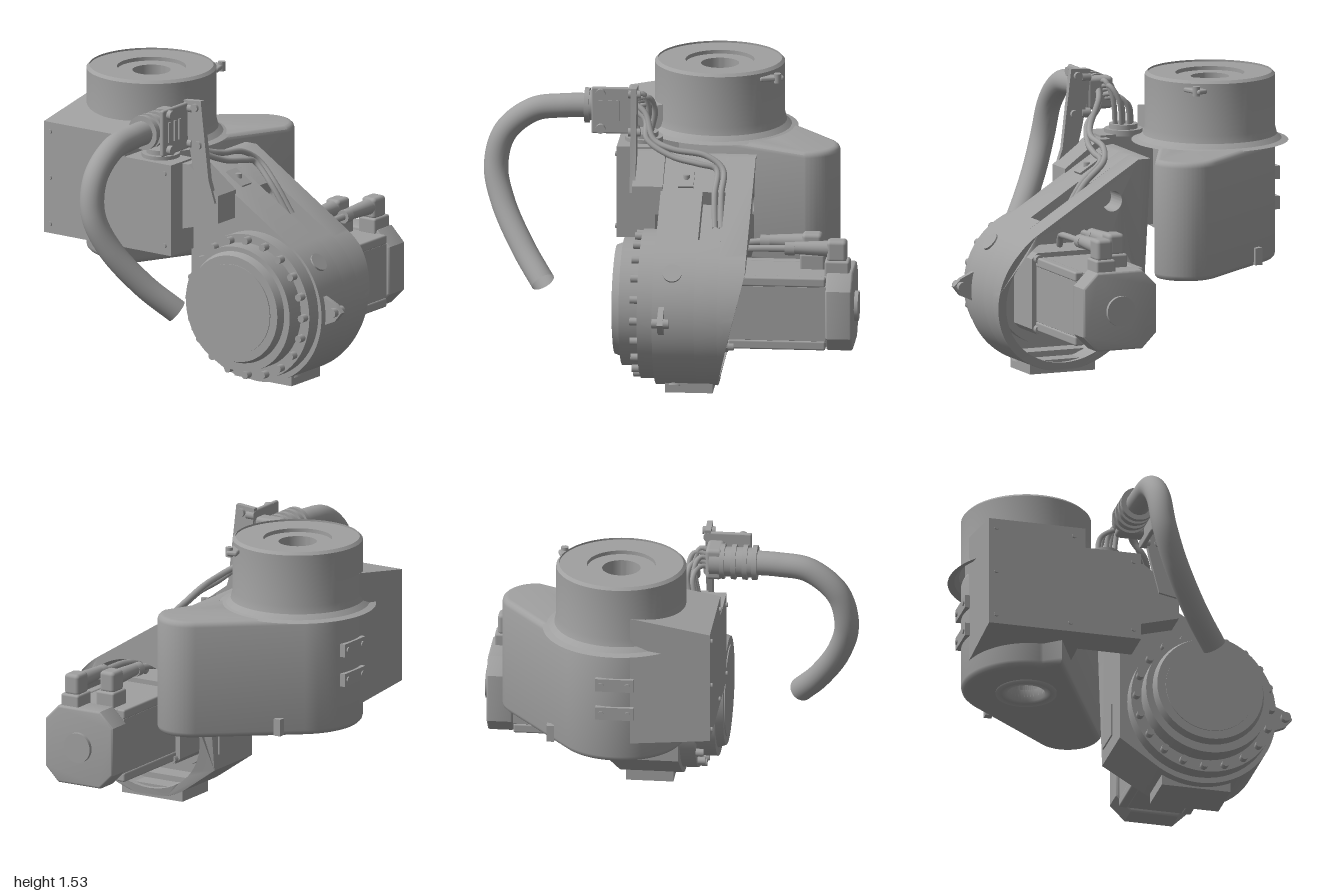
import * as THREE from 'three';
import { toCreasedNormals } from 'three/addons/utils/BufferGeometryUtils.js';
import { RoundedBoxGeometry } from 'three/addons/geometries/RoundedBoxGeometry.js';

const V = (x, y, z) => new THREE.Vector3(x, y, z);
const rad = THREE.MathUtils.degToRad;

export function createModel() {
  const root = new THREE.Group();
  const grey = new THREE.MeshStandardMaterial({ color: 0xa0a0a0, side: THREE.DoubleSide });
  grey.name = 'castGrey';

  const add = (name, geo, x = 0, y = 0, z = 0) => {
    const m = new THREE.Mesh(geo, grey);
    m.name = name;
    m.position.set(x, y, z);
    root.add(m);
    return m;
  };
  const box = (name, x0, x1, y0, y1, z0, z1, r = 0) => add(name,
    r ? new RoundedBoxGeometry(x1 - x0, y1 - y0, z1 - z0, 2, r) : new THREE.BoxGeometry(x1 - x0, y1 - y0, z1 - z0),
    (x0 + x1) / 2, (y0 + y1) / 2, (z0 + z1) / 2);
  const extrude = (shape, depth, bevel = 0) => new THREE.ExtrudeGeometry(shape, {
    depth: depth - 2 * bevel, curveSegments: 28, bevelEnabled: bevel > 0,
    bevelSize: bevel, bevelOffset: -bevel, bevelThickness: bevel, bevelSegments: 3 }).translate(0, 0, bevel);
  // shape drawn in (-z, y), swept along x
  const alongX = (name, shape, x0, x1, bevel = 0) =>
    add(name, toCreasedNormals(extrude(shape, x1 - x0, bevel).rotateY(Math.PI / 2).translate(x0, 0, 0), 0.6));
  const zyShape = pts => new THREE.Shape(pts.map(([z, y]) => new THREE.Vector2(-z, y)));
  // cylinders along each axis
  const rodX = (name, x0, x1, r, y, z, seg = 40, r2 = r) =>
    add(name, new THREE.CylinderGeometry(r2, r, x1 - x0, seg).rotateZ(-Math.PI / 2), (x0 + x1) / 2, y, z);
  const rodY = (name, y0, y1, r, x, z, seg = 32) =>
    add(name, new THREE.CylinderGeometry(r, r, y1 - y0, seg), x, (y0 + y1) / 2, z);
  const rodZ = (name, z0, z1, r, x, y, seg = 20) =>
    add(name, new THREE.CylinderGeometry(r, r, z1 - z0, seg).rotateX(Math.PI / 2), x, y, (z0 + z1) / 2);
  const tube = (name, pts, r, seg = 48, sides = 10) =>
    add(name, new THREE.TubeGeometry(new THREE.CatmullRomCurve3(pts), seg, r, sides));

  // upper housing, drawn in (x, -z)
  const plan = new THREE.Shape();
  plan.moveTo(-0.2, -0.02);
  plan.absarc(0.68, 0.16, 0.18, -Math.PI / 2, rad(38.3), false);
  plan.absarc(0.2, 0.51, 0.34, rad(38.3), Math.PI, false);
  plan.lineTo(-0.2, 0.42);
  plan.closePath();
  plan.holes.push(new THREE.Path().absarc(0.2, 0.51, 0.1, 0, Math.PI * 2, true));
  add('upperHousing', toCreasedNormals(extrude(plan, 0.63, 0.03).rotateX(-Math.PI / 2).translate(0, 0.54, 0), 0.6));

  // turret with bored top and filleted foot
  const turret = [[0.1, 0.56], [0.1, 1.5], [0.18, 1.5], [0.18, 1.52], [0.325, 1.52], [0.325, 1.53], [0.34, 1.515],
    [0.34, 1.24], [0.35, 1.2], [0.375, 1.175], [0.41, 1.165]];
  add('turret', toCreasedNormals(new THREE.LatheGeometry(turret.map(p => new THREE.Vector2(...p)), 64).toNonIndexed(), 0.5),
    0.2, 0, -0.51);
  add('bottomBearing', new THREE.LatheGeometry([[0.1, 0.6], [0.1, 0.535], [0.13, 0.535], [0.13, 0.53], [0.16, 0.53],
    [0.16, 0.56]].map(p => new THREE.Vector2(...p)), 40), 0.2, 0, -0.51);
  const lug = box('turretLug', 0.42, 0.55, 1.47, 1.495, -0.33, -0.27, 0.01);
  lug.rotation.y = 0.3;
  rodY('turretLugPin', 1.46, 1.51, 0.02, 0.52, -0.29, 12);

  // side cabinet with sloped lid, drawn in (x, y) and swept along z
  const cabinet = new THREE.Shape([[-0.3, 0.68], [0.2, 0.64], [0.2, 1.37], [-0.3, 1.28]].map(p => new THREE.Vector2(...p)));
  add('cabinet', extrude(cabinet, 0.52).translate(0, 0, -0.84));
  box('cabinetFront', -0.3, -0.1, 0.68, 1.17, -0.33, -0.02);
  for (const [y, z] of [[0.73, -0.8], [1.23, -0.8], [0.98, -0.8], [0.73, -0.4], [1.23, -0.38], [0.73, -0.06], [1.12, -0.06]])
    rodX('cabinetScrew', -0.31, -0.29, 0.013, y, z, 8);

  // rear mounting bars
  for (const y of [0.82, 0.98]) {
    box('rearBar', 0.1, 0.3, y - 0.035, y + 0.035, -0.865, -0.83);
    for (const x of [0.13, 0.27]) rodZ('rearBarScrew', -0.872, -0.85, 0.015, x, y, 10);
  }
  // bottom edge lugs
  for (const [x, z] of [[0.77, -0.07], [0.56, -0.62]]) box('edgeLug', x - 0.02, x + 0.02, 0.55, 0.64, z - 0.02, z + 0.02);

  // arm shell in three slabs; the middle one carries the cable slot
  const slope = (t, d = 0) => new THREE.Vector2(-0.848 * t + 0.53 * d, 1.13 - 0.53 * t - 0.848 * d);
  const armShape = (slot, web) => {
    const s = new THREE.Shape();
    s.moveTo(0.07, 1.13);
    const pts = [slope(0)];
    if (slot) pts.push(slope(0.25), slope(0.27, 0.075), slope(0.57, 0.075), slope(0.59));
    pts.forEach(p => s.lineTo(p.x, p.y));
    s.absarc(-0.36, 0.42, 0.41, rad(122), rad(305), false);
    s.lineTo(0.07, 0.22);
    s.closePath();
    s.holes.push(new THREE.Path().absarc(-0.36, 0.42, 0.365, 0, Math.PI * 2, true));
    if (web) s.holes.push(new THREE.Path().absarc(-0.15, 0.92, 0.055, 0, Math.PI * 2, true));
    return s;
  };
  const slabs = [[-0.05, 0.17], [0.17, 0.29], [0.29, 0.43]];
  slabs.forEach(([x0, x1], i) => {
    const g = extrude(armShape(i === 1, i === 2), x1 - x0).rotateY(Math.PI / 2).translate(x0, 0, 0);
    const p = g.attributes.position;
    // the open edge leans back towards the bottom
    for (let k = 0; k < p.count; k++) p.setX(k, Math.min(p.getX(k), 0.27 + Math.max(0, p.getY(k) - 0.03) * 0.245));
    g.computeVertexNormals();
    add('armShell', toCreasedNormals(g, 0.6));
  });
  rodX('armBackPlate', -0.05, 0.04, 0.38, 0.42, 0.36, 48);
  rodX('armInnerRing', 0.04, 0.1, 0.3, 0.42, 0.36, 48);
  alongX('armShoulder', zyShape([[-0.05, 1.16], [0.02, 1.16], [0.21, 1.02], [0.21, 0.87], [-0.05, 0.8]]), -0.2, -0.04);
  const pad = box('slopePad', 0.04, 0.12, -0.01, 0.01, -0.06, 0.06);
  pad.position.set(0.08, 1.045, 0.14);
  pad.rotation.x = 0.56;
  rodY('slopePadScrew', 1.04, 1.07, 0.018, 0.08, 0.14, 10);
  box('armRearPlate', 0.1, 0.28, 0.3, 0.48, -0.078, -0.06);

  // plugs, eye lug and feet
  const plug = rodZ('frontPlug', -0.01, 0.01, 0.05, 0.05, 0.68, 28);
  plug.position.z = 0.675; plug.rotation.x = -0.72;
  const lowPlug = rodZ('lowerPlug', -0.01, 0.01, 0.05, 0.05, 0.04, 28);
  lowPlug.position.set(0.05, 0.035, 0.5); lowPlug.rotation.x = 1.2;
  alongX('eyeLug', zyShape([[0.74, 0.53], [0.83, 0.49], [0.87, 0.45], [0.83, 0.4], [0.74, 0.36]]), -0.015, 0.015);
  rodX('eyePin', -0.045, 0.045, 0.025, 0.45, 0.83, 14);
  box('footPad', 0, 0.15, 0, 0.1, 0.17, 0.54);
  box('footBlock', 0.15, 0.25, 0, 0.07, 0.17, 0.54);

  // reducer stack and bolt ring
  rodX('reducerFlange', -0.13, -0.05, 0.39, 0.43, 0.36, 56);
  rodX('reducerBody', -0.23, -0.13, 0.335, 0.44, 0.36, 56);
  rodX('reducerCap', -0.27, -0.23, 0.285, 0.45, 0.36, 56, 0.3);
  rodX('reducerCapFace', -0.275, -0.265, 0.24, 0.45, 0.36, 48);
  for (let i = 0; i < 20; i++) {
    const a = i / 20 * Math.PI * 2;
    rodX('reducerBolt', -0.17, -0.12, 0.02, 0.43 + 0.363 * Math.sin(a), 0.36 + 0.363 * Math.cos(a), 10);
  }

  // motor
  const octagon = (h, c) => zyShape([[-h, c - h], [c - h, -h], [h - c, -h], [h, c - h], [h, h - c], [h - c, h], [c - h, h], [-h, h - c]]
    .map(([z, y]) => [z + 0.35, y + 0.44]));
  alongX('motorFlange', octagon(0.215, 0.03), 0.1, 0.33);
  alongX('motorBody', octagon(0.19, 0.045), 0.33, 0.84);
  for (const sy of [-1, 1]) for (const sz of [-1, 1]) {
    box('motorRail', 0.33, 0.84, 0.44 + sy * 0.17 - 0.025, 0.44 + sy * 0.17 + 0.025, 0.35 + sz * 0.17 - 0.025, 0.35 + sz * 0.17 + 0.025, 0.01);
    rodX('motorBolt', 0.32, 0.36, 0.022, 0.44 + sy * 0.185, 0.35 + sz * 0.185, 10);
  }
  alongX('motorEndBlock', octagon(0.208, 0.08), 0.84, 0.98, 0.012);
  rodX('motorEndCap', 0.98, 1.0, 0.08, 0.44, 0.35, 32);

  // motor connectors with short cables into the shell
  for (const [x, z] of [[0.75, 0.29], [0.89, 0.42]]) {
    box('connectorBase', x - 0.06, x + 0.07, 0.62, 0.71, z - 0.055, z + 0.055, 0.012);
    box('connectorHead', x - 0.05, x + 0.055, 0.7, 0.815, z - 0.045, z + 0.045, 0.02);
    rodX('connectorPlug', x - 0.22, x - 0.04, 0.032, 0.765, z, 18, 0.042);
    rodX('connectorNut', x - 0.27, x - 0.22, 0.036, 0.76, z, 12);
    tube('motorCable', [V(x - 0.26, 0.76, z), V(0.42, 0.755, z), V(0.33, 0.74, z - 0.02), V(0.27, 0.68, z - 0.04)], 0.018, 20, 8);
  }

  // big hose
  const hosePath = [[-0.66, 0.51, 0.28], [-0.77, 0.65, 0.15], [-0.89, 0.86, 0.01], [-0.935, 1.04, -0.06], [-0.89, 1.22, -0.08],
    [-0.74, 1.345, -0.08], [-0.58, 1.37, -0.08], [-0.4, 1.375, -0.08]];
  tube('hose', hosePath.map(p => V(...p)), 0.064, 72, 24);

  // hose clamp and its bracket
  for (const x of [-0.47, -0.42, -0.36, -0.3]) rodX('clampRing', x, x + 0.025, 0.092, 1.375, -0.08, 28);
  rodX('clampSleeve', -0.46, -0.22, 0.078, 1.375, -0.08, 28);
  box('clampPlate', -0.43, -0.2, 1.25, 1.5, 0, 0.025, 0.01);
  box('clampSaddle', -0.29, -0.2, 1.29, 1.46, -0.14, 0.01, 0.02);
  for (const x of [-0.38, -0.33, -0.29]) box('clampRib', x - 0.01, x + 0.01, 1.32, 1.43, 0.02, 0.034);
  for (const [x, y] of [[-0.38, 1.28], [-0.38, 1.47], [-0.2, 1.47], [-0.2, 1.28]]) rodZ('clampScrew', 0, 0.05, 0.025, x, y, 14);
  alongX('hoseBracket', zyShape([[0.11, 1.52], [0.0, 1.51], [0.01, 1.4], [0.05, 1.2], [0.1, 1.0], [0.2, 0.98], [0.16, 1.1]]), -0.215, -0.185);
  for (const y of [1.48, 1.28]) rodX('bracketScrew', -0.23, -0.165, 0.022, y, y > 1.4 ? 0.075 : 0.095, 12);

  // cable inlet with looping cables
  rodY('cableInlet', 1.16, 1.19, 0.1, -0.17, -0.18);
  rodY('cableInletRim', 1.19, 1.215, 0.075, -0.17, -0.18);
  for (let i = 0; i < 5; i++) {
    const dz = (i - 2) * 0.022, dx = (i % 2) * 0.03;
    tube('loopCable', [V(-0.24, 1.38 + dz, -0.08), V(-0.17 + dx, 1.4 + dz, -0.1 + dz / 2), V(-0.14 + dx, 1.34 + dz / 2, -0.15 + dz),
      V(-0.17 + dx, 1.18, -0.18 + dz)], 0.014, 24, 8);
  }
  // cables running down into the slot
  for (const d of [0, 0.035])
    tube('armCable', [V(-0.22, 1.4 - d, -0.06), V(-0.15, 1.35 - d, -0.03), V(-0.1 - d, 1.23, 0.04), V(0, 1.19 - d, 0.08 + d / 2),
      V(0.18 - d, 1.16 - d, 0.09 + d), V(0.27 - d, 1.1, 0.13), V(0.27 - d, 0.99, 0.24), V(0.28 - d, 0.84, 0.34)], 0.016, 60, 8);

  return root;
}
